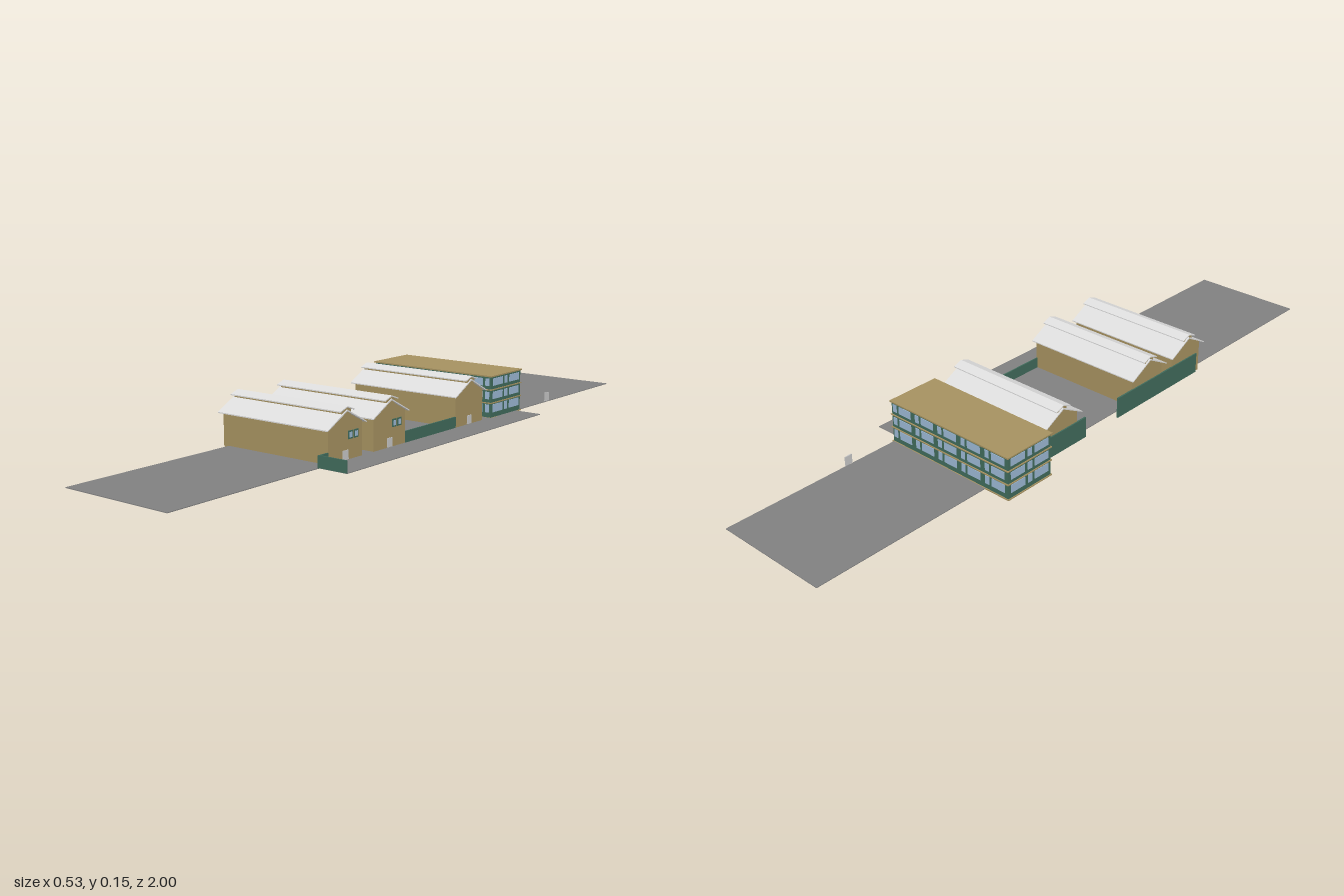
import * as THREE from 'three';

const mat = (name, color) => Object.assign(new THREE.MeshStandardMaterial({ color }), { name });

export function createModel() {
  const root = new THREE.Group();
  root.name = 'compound';
  const tan = mat('tan wall', 0xa59160);
  const green = mat('dark green', 0x406a5b);
  const roofGrey = mat('pale roof', 0xdcdcdc);
  const asphalt = mat('asphalt', 0x808080);
  const glass = mat('window glass', 0x9bb7d3);
  const doorGrey = mat('door grey', 0xc6c6c6);

  // Box given by its limits on each axis
  const box = (parent, name, m, x0, x1, y0, y1, z0, z1) => {
    const mesh = new THREE.Mesh(new THREE.BoxGeometry(x1 - x0, y1 - y0, z1 - z0), m);
    mesh.position.set((x0 + x1) / 2, (y0 + y1) / 2, (z0 + z1) / 2);
    mesh.name = name;
    parent.add(mesh);
    return mesh;
  };

  // Symmetric (z, y) profile swept along x
  const sweep = (parent, name, m, points, x0, x1) => {
    const shape = new THREE.Shape(points.map(([z, y]) => new THREE.Vector2(z, y)));
    const geo = new THREE.ExtrudeGeometry(shape, { depth: x1 - x0, bevelEnabled: false });
    geo.rotateY(Math.PI / 2);
    geo.translate(x0, 0, 0);
    const mesh = new THREE.Mesh(geo, m);
    mesh.name = name;
    parent.add(mesh);
  };

  // Ground strips
  box(root, 'ground', asphalt, -0.18, 0.17, 0.003, 0.005, -1, 1);
  box(root, 'sideRoad', asphalt, 0.17, 0.26, 0.003, 0.005, -0.42, 0.49);

  // Gabled halls with a raised ridge vent
  const hall = (z, windows) => {
    const g = new THREE.Group();
    g.name = 'hall';
    g.position.z = z;
    root.add(g);
    sweep(g, 'hallWalls', tan,
      [[-0.068, 0.001], [0.068, 0.001], [0.068, 0.098], [0, 0.134], [-0.068, 0.098]], -0.198, 0.17);
    sweep(g, 'hallRoof', roofGrey,
      [[-0.078, 0.093], [0, 0.134], [0.078, 0.093], [0.078, 0.096], [0, 0.138], [-0.078, 0.096]], -0.209, 0.178);
    sweep(g, 'ridgeVent', tan,
      [[-0.018, 0.125], [0.018, 0.125], [0.018, 0.137], [0, 0.144], [-0.018, 0.137]], -0.204, 0.175);
    sweep(g, 'ventRoof', roofGrey,
      [[-0.028, 0.134], [0, 0.144], [0.028, 0.134], [0.028, 0.137], [0, 0.147], [-0.028, 0.137]], -0.209, 0.178);
    box(g, 'hallDoor', doorGrey, 0.169, 0.172, 0.006, 0.031, -0.011, 0.011);
    if (windows) {
      for (const wz of [-0.02, -0.042]) {
        box(g, 'hallWindowFrame', green, 0.169, 0.172, 0.058, 0.08, wz - 0.009, wz + 0.009);
        box(g, 'hallWindow', glass, 0.17, 0.173, 0.062, 0.076, wz - 0.005, wz + 0.005);
      }
    }
  };
  hall(0.388, true);
  hall(0.204, true);
  hall(-0.172, false);

  // Tall boundary walls along the -x side, with a gateway between
  box(root, 'tallWall', green, -0.202, -0.197, 0, 0.063, 0.07, 0.44);
  box(root, 'tallWall', green, -0.202, -0.197, 0, 0.063, -0.28, -0.07);

  // Low fences on the +x side
  box(root, 'lowFence', green, 0.167, 0.171, 0.003, 0.037, -0.104, 0.136);
  box(root, 'lowFence', green, 0.167, 0.171, 0.003, 0.037, 0.456, 0.494);
  box(root, 'endFence', green, 0.171, 0.262, 0.005, 0.038, 0.49, 0.494);

  // Three-storey block with floor slabs and window bands
  const block = new THREE.Group();
  block.name = 'officeBlock';
  root.add(block);
  const X0 = -0.26, X1 = 0.173, Z0 = -0.442, Z1 = -0.281;
  box(block, 'blockWalls', green, X0, X1, 0.003, 0.128, Z0, Z1);
  for (const y of [0.002, 0.047, 0.087]) {
    box(block, 'floorSlab', tan, X0 - 0.003, X1 + 0.003, y, y + 0.003, Z0 - 0.003, Z1 + 0.003);
  }
  box(block, 'flatRoof', tan, X0 - 0.004, X1 + 0.004, 0.127, 0.131, Z0 - 0.004, Z1 + 0.004);

  const bays = 5, pitch = (X1 - X0) / bays;
  for (const [y0, y1] of [[0.02, 0.044], [0.06, 0.082], [0.1, 0.122]]) {
    // Long sides: one wide and one narrow pane in each bay
    for (const z of [Z0, Z1]) {
      for (let i = 0; i < bays; i++) {
        const x = X0 + i * pitch;
        box(block, 'wideWindow', glass, x + 0.012, x + 0.058, y0, y1, z - 0.0015, z + 0.0015);
        box(block, 'narrowWindow', glass, x + 0.067, x + 0.081, y0, y1, z - 0.0015, z + 0.0015);
      }
    }
    // Short ends: wide, narrow, wide
    for (const x of [X0, X1]) {
      for (const [a, b] of [[0.01, 0.062], [0.073, 0.089], [0.099, 0.151]]) {
        box(block, 'endWindow', glass, x - 0.0015, x + 0.0015, y0, y1, Z0 + a, Z0 + b);
      }
    }
  }

  // Free-standing gate panel on the far ground
  box(root, 'gatePanel', doorGrey, 0.169, 0.172, 0.006, 0.033, -0.617, -0.594);

  return root;
}
